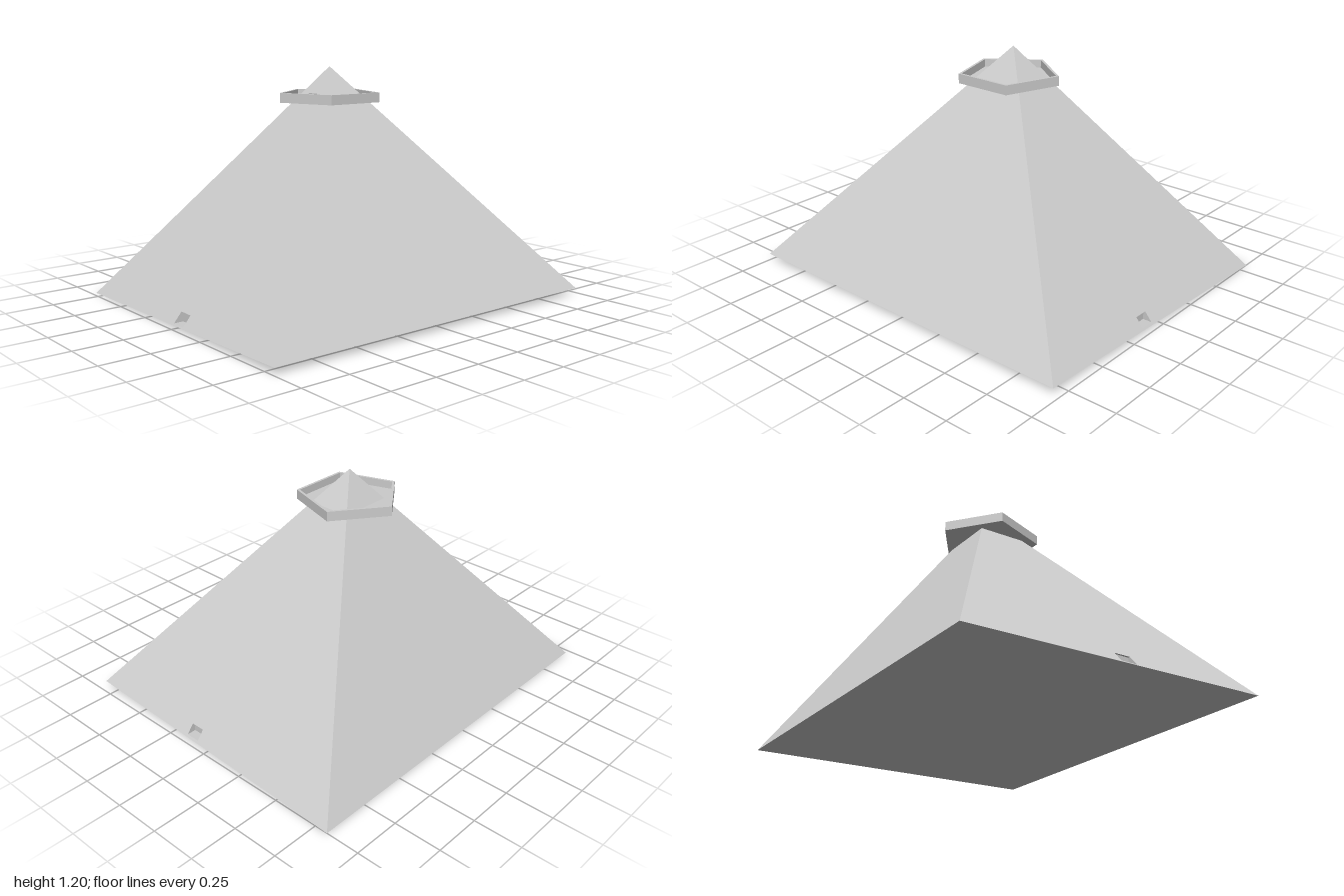
import * as THREE from 'three';

const material = new THREE.MeshStandardMaterial({ color: 0xcccccc, flatShading: true, side: THREE.DoubleSide });

const V = (x, y, z) => new THREE.Vector3(x, y, z);
const apex = V(0, 1.2, -0.05);
const frontRight = V(0.97, 0.035, 0.82), frontLeft = V(-1, 0.035, 0.82);
const backRight = V(1, 0, -0.82), backLeft = V(-0.975, 0, -0.82);

function add(group, name, geometry) {
  const mesh = new THREE.Mesh(geometry, material);
  mesh.name = name;
  group.add(mesh);
  return mesh;
}

// Flat polygon given as a fan of points, counter-clockwise from outside
function polygon(...points) {
  const corners = [];
  for (let i = 1; i < points.length - 1; i++) corners.push(points[0], points[i], points[i + 1]);
  const geometry = new THREE.BufferGeometry().setFromPoints(corners);
  geometry.computeVertexNormals();
  return geometry;
}

// Side face drawn in the z-y plane with door holes, then laid onto its slope
function sideFace(group, name, a, b, doors) {
  const plane = new THREE.Plane().setFromCoplanarPoints(a, b, apex);
  const xAt = (z, y) => -(plane.constant + plane.normal.y * y + plane.normal.z * z) / plane.normal.x;
  const inward = -Math.sign(a.x);
  const shape = new THREE.Shape([a, b, apex].map(p => new THREE.Vector2(p.z, p.y)));
  for (const { z0, z1, y0, y1, depth } of doors) {
    const outline = [[z0, y0], [z1, y0], [z1, y1], [z0, y1]];
    shape.holes.push(new THREE.Path(outline.map(p => new THREE.Vector2(...p))));

    // Recess: level floor, ceiling and sides ending at an upright back wall
    const outer = outline.map(([z, y]) => V(xAt(z, y), y, z));
    const backX = xAt((z0 + z1) / 2, y1) + inward * depth;
    const inner = outline.map(([z, y]) => V(backX, y, z));
    const recess = new THREE.Group();
    recess.name = name + 'Doorway';
    const flip = inward < 0;
    const panel = (label, ...p) => add(recess, label, polygon(...(flip ? p : p.reverse())));
    outer.forEach((p, i) => {
      const j = (i + 1) % 4;
      panel(['floor', 'frontWall', 'ceiling', 'rearWall'][i], p, inner[i], inner[j], outer[j]);
    });
    panel('backWall', inner[0], inner[3], inner[2], inner[1]);
    group.add(recess);
  }
  let geometry = new THREE.ShapeGeometry(shape);
  const pos = geometry.attributes.position;
  for (let i = 0; i < pos.count; i++) {
    const z = pos.getX(i), y = pos.getY(i);
    pos.setXYZ(i, xAt(z, y), y, z);
  }
  // A counter-clockwise z-y outline faces -x, so turn the +x face around
  if (inward < 0) geometry.setIndex(Array.from(geometry.index.array).reverse());
  geometry = geometry.toNonIndexed();
  geometry.computeVertexNormals();
  add(group, name, geometry);
}

// Upright slab made from an outline in x-z
function slab(shape, bottom, height) {
  const geometry = new THREE.ExtrudeGeometry(shape, { depth: height, bevelEnabled: false });
  geometry.rotateX(-Math.PI / 2);
  geometry.translate(0, bottom, 0);
  return geometry;
}

export function createModel() {
  const model = new THREE.Group();
  model.name = 'pyramid';

  // Four slopes and the tilted underside
  add(model, 'frontFace', polygon(frontLeft, frontRight, apex));
  add(model, 'backFace', polygon(backRight, backLeft, apex));
  add(model, 'underside', polygon(backLeft, backRight, frontRight, frontLeft));
  sideFace(model, 'positiveSide', backRight, frontRight, [
    { z0: 0.07, z1: 0.145, y0: 0.03, y1: 0.075, depth: 0.01 },
  ]);
  sideFace(model, 'negativeSide', backLeft, frontLeft, [
    { z0: -0.005, z1: 0.08, y0: 0.025, y1: 0.075, depth: 0.01 },
    { z0: -0.08, z1: -0.01, y0: 1.035, y1: 1.065, depth: 0.03 },
  ]);

  // Five-sided lookout platform around the summit
  const centre = new THREE.Vector2(-0.013, 0.04);
  const outline = [[-0.17, -0.175], [0.145, -0.175], [0.24, 0.12], [-0.018, 0.31], [-0.268, 0.12]]
    .map(p => new THREE.Vector2(...p));
  const platform = new THREE.Group();
  platform.name = 'platform';
  add(platform, 'platformFloor', slab(new THREE.Shape(outline), 1.02, 0.01));

  // Low wall along the platform edge
  const wall = new THREE.Shape(outline);
  wall.holes.push(new THREE.Path(outline.map(p => p.clone().lerp(centre, 0.06))));
  add(platform, 'parapet', slab(wall, 1.03, 0.04));
  model.add(platform);

  return model;
}
